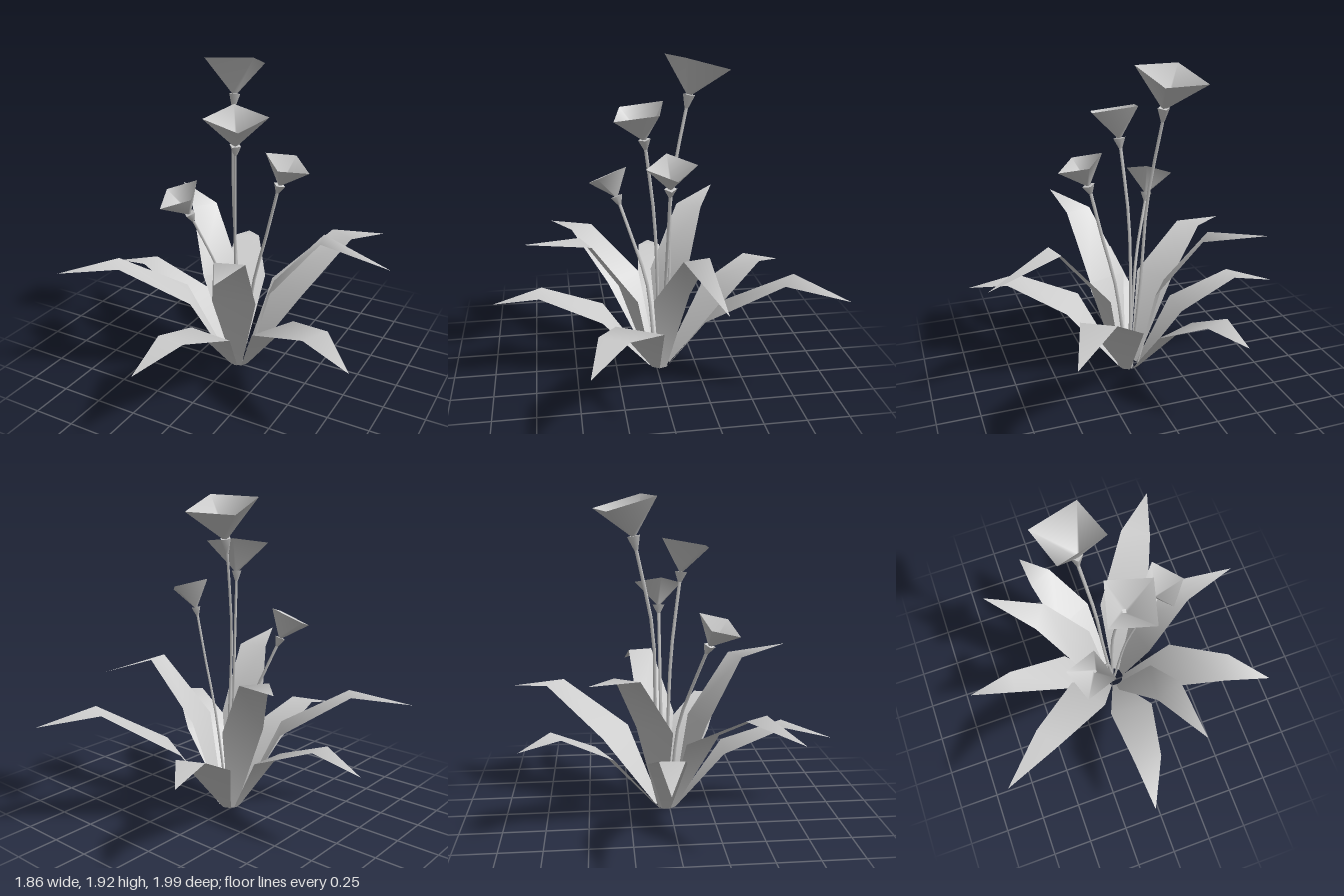
import * as THREE from 'three';

const grey = new THREE.MeshStandardMaterial({ color: 0xcccccc, side: THREE.DoubleSide });
grey.name = 'plantGrey';

const V = (p) => new THREE.Vector3(...p);

function addMesh(parent, name, geometry) {
  const mesh = new THREE.Mesh(geometry, grey);
  mesh.name = name;
  parent.add(mesh);
  return mesh;
}

// Skin between equally long rows of points; closed rows wrap round.
function loft(rows, closed) {
  const n = rows[0].length, index = [];
  for (let r = 0; r < rows.length - 1; r++) {
    for (let i = 0; i < (closed ? n : n - 1); i++) {
      const a = r * n + i, b = r * n + (i + 1) % n;
      index.push(a, b, b + n, a, b + n, a + n);
    }
  }
  const g = new THREE.BufferGeometry().setFromPoints(rows.flat());
  g.setIndex(index);
  g.computeVertexNormals();
  return g;
}

// Leaves: lower bend, upper bend and tip of the midrib, then the width at each bend.
const leaves = [
  [[0.207, 0.44, -0.325], [0.427, 0.715, -0.707], [0.62, 0.65, -1.0], 0.32, 0.195],
  [[-0.13, 0.42, -0.4], [-0.26, 0.58, -0.675], [-0.35, 0.52, -0.88], 0.27, 0.165],
  [[-0.145, 0.56, -0.105], [-0.36, 0.925, -0.27], [-0.65, 0.97, -0.48], 0.25, 0.17],
  [[-0.28, 0.4, -0.04], [-0.65, 0.555, -0.05], [-0.93, 0.48, -0.08], 0.23, 0.14],
  [[-0.215, 0.515, 0.175], [-0.55, 0.745, 0.415], [-0.86, 0.69, 0.61], 0.26, 0.165],
  [[0.025, 0.385, 0.33], [-0.005, 0.53, 0.7], [-0.06, 0.45, 0.99], 0.275, 0.17],
  [[0.1, 0.54, 0.18], [0.21, 0.925, 0.43], [0.31, 0.97, 0.77], 0.26, 0.175],
  [[0.34, 0.415, 0.14], [0.68, 0.553, 0.32], [0.93, 0.475, 0.46], 0.3, 0.178],
  [[0.22, 0.55, -0.065], [0.51, 0.908, -0.15], [0.905, 0.76, -0.24], 0.23, 0.155],
];

function addLeaf(parent, [low, high, tip, lowWidth, highWidth]) {
  const root = new THREE.Vector3(0.03, 0.01, -0.02);
  const dir = V(tip).sub(root).setY(0).normalize();
  const side = new THREE.Vector3(-dir.z, 0, dir.x);
  const rib = [root.addScaledVector(dir, 0.06), V(low), V(high), V(tip)];
  const widths = [0.05, lowWidth, highWidth, 0.002];
  const rows = rib.map((p, i) => [-0.5, 0.5].map((s) =>
    p.clone().addScaledVector(side, s * widths[i])));
  addMesh(parent, 'leaf', loft(rows, false));
}

// Flowers: stem path, foot and centre of the bloom, half diagonals of its rim.
const flowers = [
  { stem: [[0.02, 0, -0.05], [-0.025, 0.6, -0.09], [-0.06, 1.13, -0.105], [-0.11, 1.61, -0.2]],
    foot: [-0.11, 1.69, -0.215], top: [-0.133, 1.875, -0.266],
    a: [0.175, 0.045, 0.102], b: [0.108, -0.035, -0.175] },
  { stem: [[0.02, 0, -0.02], [0.01, 0.6, -0.01], [0.015, 1.0, 0.01], [0.045, 1.41, 0.062]],
    foot: [0.05, 1.47, 0.07], top: [0.072, 1.636, 0.103],
    a: [0.159, 0.003, -0.093], b: [-0.095, 0.037, -0.151] },
  { stem: [[0.04, 0, -0.03], [0.12, 0.6, -0.045], [0.19, 0.88, -0.045], [0.262, 1.19, -0.045]],
    foot: [0.275, 1.24, -0.045], top: [0.32, 1.375, -0.045],
    a: [0.132, -0.045, -0.01], b: [-0.01, 0.005, -0.145] },
  { stem: [[0.02, 0, 0], [-0.035, 0.56, 0.05], [-0.07, 0.73, 0.1], [-0.16, 1.02, 0.195]],
    foot: [-0.172, 1.07, 0.213], top: [-0.21, 1.195, 0.265],
    a: [0.124, 0.01, 0.067], b: [0.056, 0.062, -0.111] },
];

function addFlower(parent, { stem, foot, top, a, b }) {
  const flower = new THREE.Group();
  flower.name = 'flower';
  parent.add(flower);

  const path = new THREE.CatmullRomCurve3(stem.map(V));
  addMesh(flower, 'stem', new THREE.TubeGeometry(path, 8, 0.01, 4));

  // Small cup under the bloom
  const from = V(stem[3]), to = V(foot), axis = to.clone().sub(from);
  const cup = addMesh(flower, 'calyx',
    new THREE.CylinderGeometry(0.037, 0.011, axis.length(), 4));
  cup.position.copy(from).lerp(to, 0.5);
  cup.quaternion.setFromUnitVectors(new THREE.Vector3(0, 1, 0), axis.normalize());

  // Open square bloom flaring to a tilted rim
  const corners = [V(a), V(b), V(a).negate(), V(b).negate()];
  const ring = (centre, s) => corners.map((c) => V(centre).addScaledVector(c, s));
  addMesh(flower, 'bloom', loft([ring(foot, 0.08), ring(top, 1)], true));
}

export function createModel() {
  const plant = new THREE.Group();
  plant.name = 'floweringPlant';
  leaves.forEach((leaf) => addLeaf(plant, leaf));
  flowers.forEach((flower) => addFlower(plant, flower));
  return plant;
}
